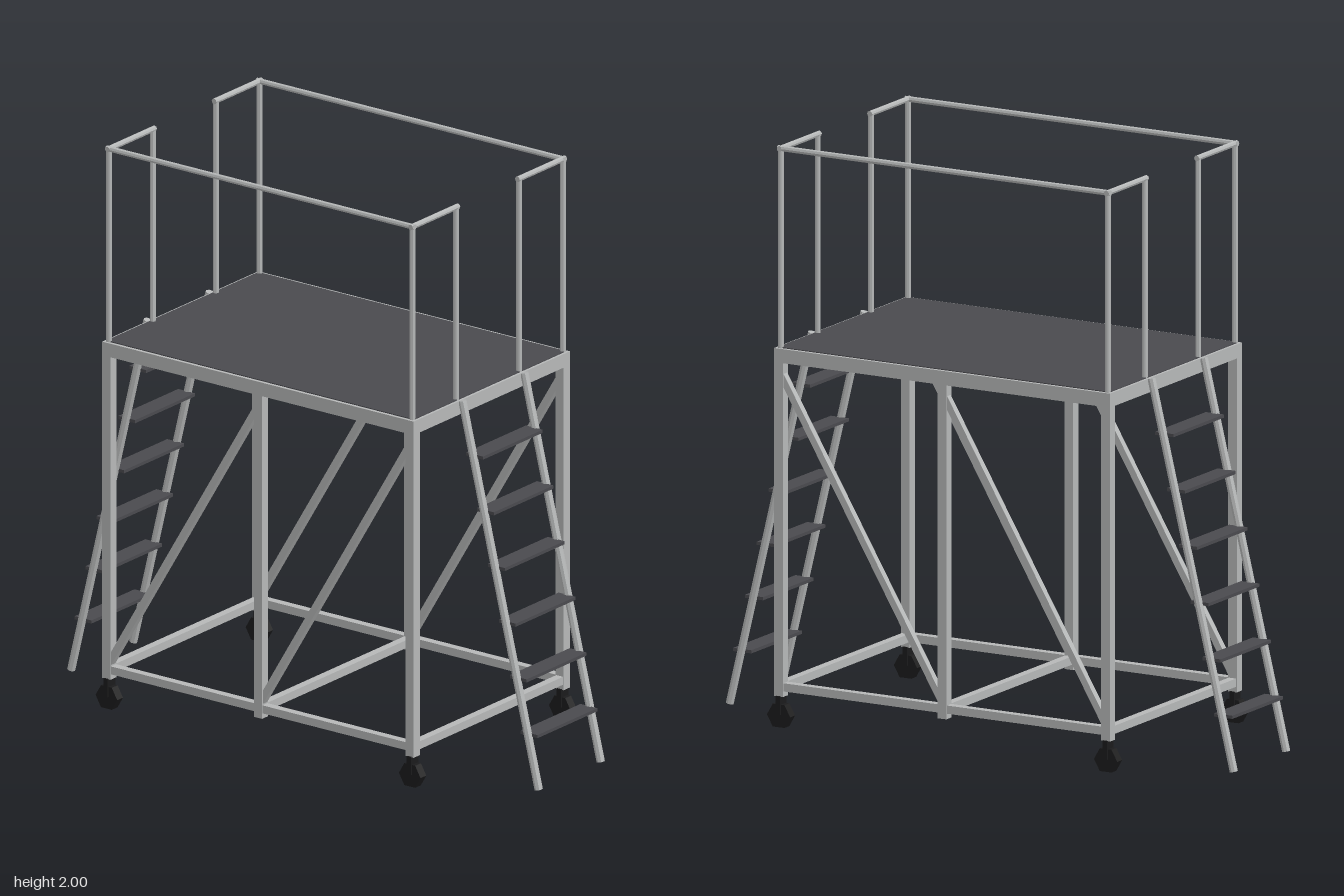
import * as THREE from 'three';

export function createModel() {
  const model = new THREE.Group();
  const steel = new THREE.MeshStandardMaterial({ color: 0xb6b8b8, flatShading: true });
  steel.name = 'grey steel';
  const tread = new THREE.MeshStandardMaterial({ color: 0x4a4a4e, flatShading: true });
  tread.name = 'dark tread';
  const rubber = new THREE.MeshStandardMaterial({ color: 0x1b1b1c, flatShading: true });
  rubber.name = 'black rubber';

  const add = (parent, name, geometry, material, x = 0, y = 0, z = 0) => {
    const mesh = new THREE.Mesh(geometry, material);
    mesh.name = name;
    mesh.position.set(x, y, z);
    parent.add(mesh);
    return mesh;
  };
  const box = (parent, name, w, h, d, x, y, z, material = steel) =>
    add(parent, name, new THREE.BoxGeometry(w, h, d), material, x, y, z);
  // Round or square bar between two points
  const bar = (parent, name, a, b, size, square = false) => {
    const from = new THREE.Vector3(...a), to = new THREE.Vector3(...b);
    const dir = to.clone().sub(from), length = dir.length();
    const geometry = square
      ? new THREE.BoxGeometry(size, length, size)
      : new THREE.CylinderGeometry(size / 2, size / 2, length, 8);
    const mesh = add(parent, name, geometry, steel);
    mesh.position.copy(from).add(to).multiplyScalar(0.5);
    mesh.quaternion.setFromUnitVectors(new THREE.Vector3(0, 1, 0), dir.normalize());
    return mesh;
  };
  const group = (name) => {
    const g = new THREE.Group();
    g.name = name;
    model.add(g);
    return g;
  };

  const X = 0.632, Z = 0.414, POST = 0.034;

  // Frame: posts, beams, lower rails and diagonal braces
  const frame = group('frame');
  for (const z of [-Z, Z]) {
    for (const x of [-X, 0, X]) box(frame, 'post', POST, 1.15, POST, x, 0.695, z);
    box(frame, 'topSideBeam', 2 * X + POST, 0.048, POST, 0, 1.285, z);
    box(frame, 'lowerSideRail', 2 * X, 0.028, 0.028, 0, 0.153, z);
    for (const x of [-X, 0]) {
      bar(frame, 'diagonalBrace', [x + 0.005, 0.175, z], [x + X - 0.005, 1.22, z], 0.024, true);
    }
  }
  for (const x of [-X, 0, X]) {
    if (x) box(frame, 'topEndBeam', POST, 0.048, 2 * Z - POST, x, 1.285, 0);
    box(frame, 'lowerCrossRail', 0.028, 0.028, 2 * Z, x, 0.153, 0);
  }

  // Platform deck
  box(model, 'deck', 2 * X + 0.016, 0.014, 2 * Z + 0.01, 0, 1.305, 0, tread);

  // Guard rails, open at both ladders
  const guard = group('guardRails');
  const RX = 0.632, RZ = 0.415, GAP = 0.174, TOP = 1.99, T = 0.02;
  for (const s of [-1, 1]) {
    bar(guard, 'longHandrail', [-RX - T / 2, TOP, s * RZ], [RX + T / 2, TOP, s * RZ], T);
    for (const x of [-RX, RX]) {
      bar(guard, 'endHandrail', [x, TOP, s * (RZ + T / 2)], [x, TOP, s * (GAP - T / 2)], T);
      for (const z of [RZ, GAP]) bar(guard, 'railPost', [x, 1.29, s * z], [x, TOP, s * z], T);
    }
  }

  // Ladders at both ends
  for (const s of [-1, 1]) {
    const ladder = group(s > 0 ? 'leftLadder' : 'rightLadder');
    const top = [0.656, 1.31], foot = [0.974, 0.004];
    for (const z of [-0.171, 0.171]) {
      bar(ladder, 'stringer', [s * foot[0], foot[1], z], [s * top[0], top[1], z], 0.028);
    }
    for (let i = 1; i <= 6; i++) {
      const y = 0.187 * i;
      const x = top[0] + (foot[0] - top[0]) * (top[1] - y) / (top[1] - foot[1]);
      box(ladder, 'step', 0.07, 0.011, 0.33, s * x, y, 0, tread);
    }
  }

  // Casters with six-sided wheels
  for (const x of [-X, X]) for (const z of [-Z, Z]) {
    const caster = group('caster');
    caster.position.set(x, 0, z);
    box(caster, 'casterFork', 0.018, 0.064, 0.042, 0, 0.09, 0, rubber);
    const wheel = add(caster, 'wheel', new THREE.CylinderGeometry(0.045, 0.045, 0.032, 6), rubber, 0, 0.054, 0);
    wheel.rotation.set(Math.PI / 2, Math.PI / 6, 0);
    wheel.rotation.order = 'XYZ';
  }
  return model;
}
